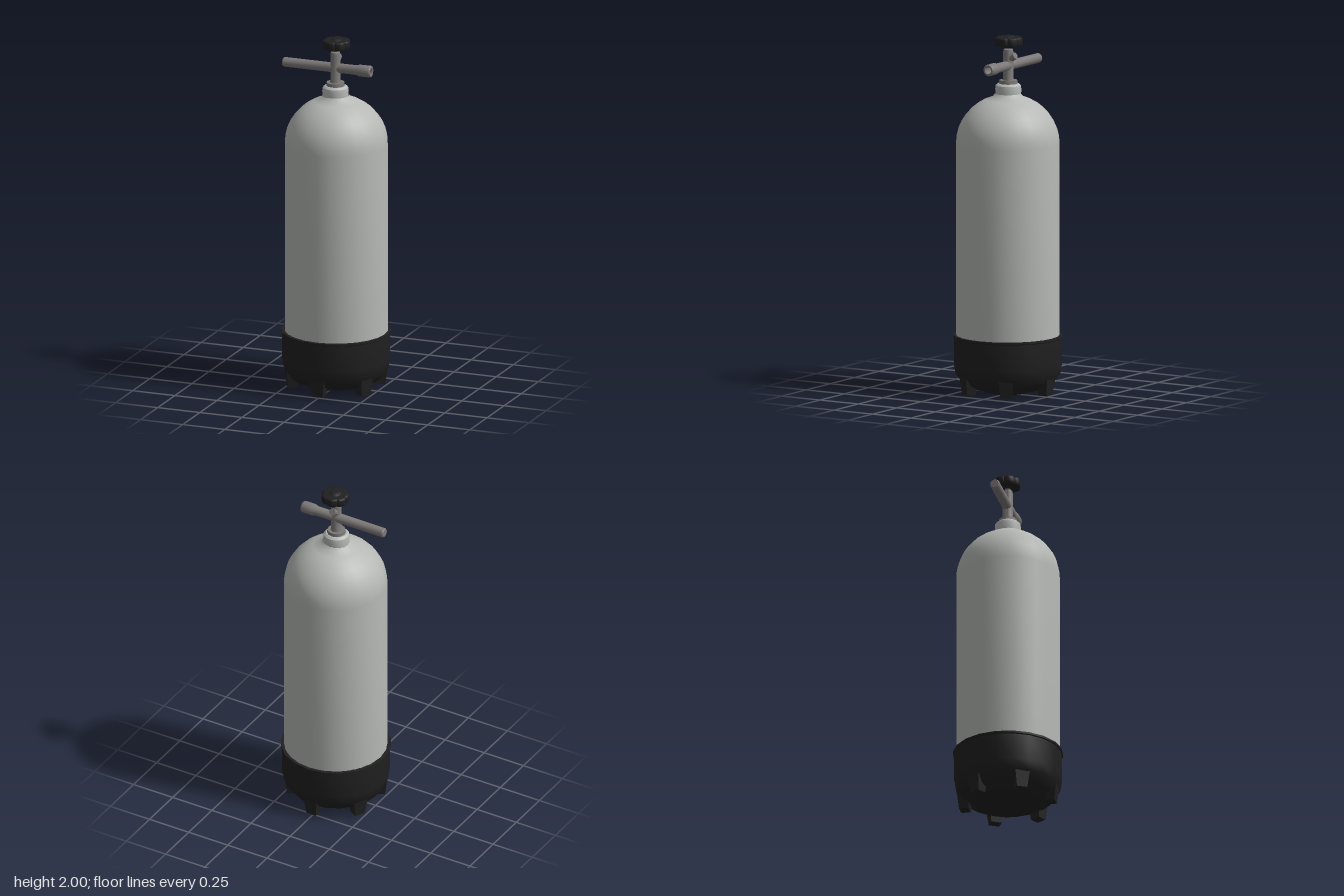
import * as THREE from 'three';
import { toCreasedNormals } from 'three/addons/utils/BufferGeometryUtils.js';

const material = (name, color) => {
  const m = new THREE.MeshStandardMaterial({ color, side: THREE.DoubleSide });
  m.name = name;
  return m;
};

export function createModel() {
  const group = new THREE.Group();
  const paint = material('pale grey paint', 0xb5b8b5);
  const metal = material('valve metal', 0x7d7979);
  const rubber = material('black rubber', 0x202020);

  const add = (name, geometry, mat, x = 0, y = 0, z = 0, crease = 0.6) => {
    const mesh = new THREE.Mesh(toCreasedNormals(geometry, crease), mat);
    mesh.name = name;
    mesh.position.set(x, y, z);
    group.add(mesh);
    return mesh;
  };
  const lathe = (points, sides) =>
    new THREE.LatheGeometry(points.map(([r, y]) => new THREE.Vector2(r, y)), sides);

  // Tank: straight wall, elliptical shoulder and threaded neck
  const wall = [[0, 0.06], [0.2, 0.08], [0.285, 0.2], [0.285, 1.4]];
  for (let i = 1; i <= 8; i++) {
    const a = (i / 8) * 1.27;
    wall.push([0.285 * Math.cos(a), 1.4 + 0.27 * Math.sin(a)]);
  }
  wall.push([0.071, 1.675]);
  add('tank', lathe(wall, 24), paint, 0.005);
  add('neck', lathe([[0.071, 1.655], [0.073, 1.7], [0.07, 1.72], [0.058, 1.73], [0, 1.73]], 16), paint);

  // Protective boot with a rounded underside and a rim
  add('boot', lathe([[0, 0.004], [0.1, 0.01], [0.19, 0.035], [0.25, 0.065], [0.288, 0.115],
    [0.298, 0.17], [0.298, 0.318], [0.304, 0.322], [0.304, 0.333], [0.284, 0.333]], 20), rubber, 0.003);

  // Six tapered feet around the boot
  for (let i = 0; i < 6; i++) {
    const a = (i * Math.PI) / 3;
    const foot = new THREE.CylinderGeometry(0.075, 0.047, 0.15, 4, 1);
    foot.rotateY(Math.PI / 4);
    foot.scale(0.9, 1, 0.8);
    const f = add('foot', foot, rubber, 0.003 + 0.243 * Math.sin(a), 0.09, 0.243 * Math.cos(a), 0.3);
    f.rotation.y = a;
  }

  // Valve collar and post
  add('collar', new THREE.CylinderGeometry(0.05, 0.052, 0.022, 12), metal, 0, 1.738, 0);
  add('valvePost', lathe([[0.035, 1.74], [0.029, 1.76], [0.029, 1.9], [0.026, 1.92], [0.015, 1.925],
    [0.015, 1.95]], 14), metal);

  // Cross tube with a wider hollow outlet at one end
  const along = (profile) => lathe(profile, 14).rotateZ(-Math.PI / 2);
  add('crossTube', along([[0, -0.31], [0.022, -0.31], [0.027, -0.303], [0.027, 0.125], [0.033, 0.142],
    [0.033, 0.206], [0.029, 0.212], [0.02, 0.212], [0.02, 0.15], [0, 0.15]]), metal, 0, 1.83, -0.002);

  // Small relief plug on the back of the post
  const plug = add('reliefPlug', new THREE.CylinderGeometry(0.02, 0.023, 0.045, 10), metal, 0, 1.878, -0.026);
  plug.rotation.x = -1.1;

  // Lobed hand wheel
  const outline = new THREE.Shape();
  const steps = 56;
  for (let i = 0; i < steps; i++) {
    const a = (i / steps) * Math.PI * 2;
    const r = 0.057 + 0.012 * Math.sqrt(Math.abs(Math.cos(3.5 * a)));
    outline[i ? 'lineTo' : 'moveTo'](r * Math.cos(a), r * Math.sin(a));
  }
  outline.closePath();
  const wheel = new THREE.ExtrudeGeometry(outline, {
    depth: 0.03, bevelEnabled: true, bevelThickness: 0.009, bevelSize: 0.008, bevelSegments: 2,
  }).rotateX(-Math.PI / 2);
  add('handWheel', wheel, rubber, 0.004, 1.951, -0.006, 0.8);
  add('wheelHub', lathe([[0.028, 1.93], [0.04, 1.945], [0.04, 1.985], [0.025, 1.997], [0.01, 2], [0, 1.996]], 14),
    rubber, 0.004, 0, -0.006);

  return group;
}
